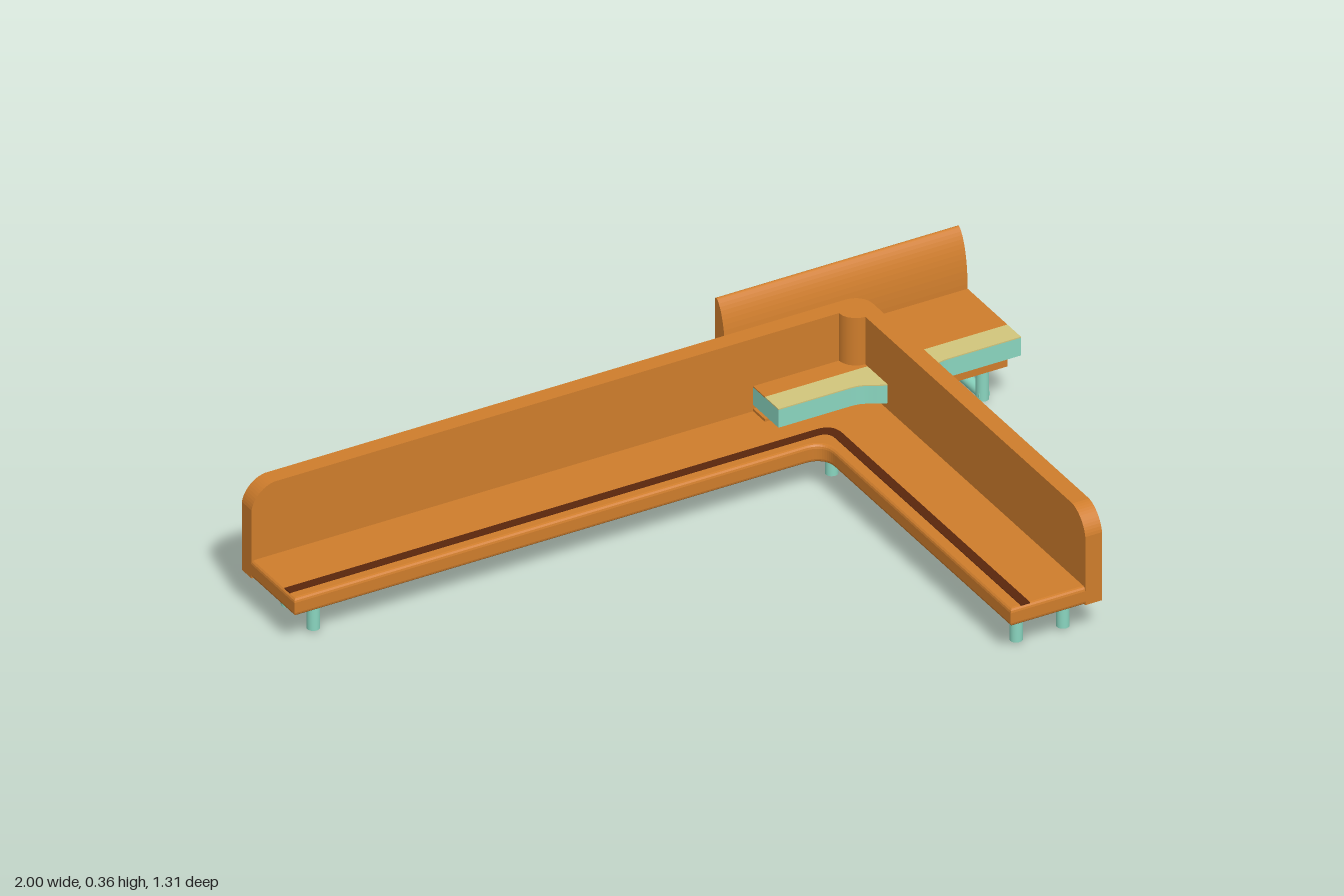
import * as THREE from 'three';

export function createModel() {
  const root = new THREE.Group();
  const mat = (name, color) => {
    const m = new THREE.MeshStandardMaterial({ color });
    m.name = name;
    return m;
  };
  const orange = mat('orange upholstery', 0xcf7d2c);
  const teal = mat('teal frame', 0x8ad6c0);
  const brown = mat('dark brown', 0x5a260c);
  const straw = mat('straw trim', 0xd2c67c);

  const add = (name, geo, material, x = 0, y = 0, z = 0) => {
    const m = new THREE.Mesh(geo, material);
    m.name = name;
    m.position.set(x, y, z);
    root.add(m);
    return m;
  };
  const box = (name, material, x0, x1, y0, y1, z0, z1) =>
    add(name, new THREE.BoxGeometry(x1 - x0, y1 - y0, z1 - z0), material,
      (x0 + x1) / 2, (y0 + y1) / 2, (z0 + z1) / 2);
  const post = (name, material, x, z, y0, y1, r = 0.016) =>
    add(name, new THREE.CylinderGeometry(r, r, y1 - y0, 20), material, x, (y0 + y1) / 2, z);
  // plan shapes use (x, -z) and rise along y
  const plan = (shape, h, bevel = 0) => {
    const g = new THREE.ExtrudeGeometry(shape, {
      depth: h - 2 * bevel, curveSegments: 12, bevelEnabled: bevel > 0,
      bevelSize: bevel, bevelOffset: -bevel, bevelThickness: bevel, bevelSegments: 3,
    });
    return g.translate(0, 0, bevel).rotateX(-Math.PI / 2);
  };
  const extrude = (shape, depth) =>
    new THREE.ExtrudeGeometry(shape, { depth, bevelEnabled: false, curveSegments: 12 });

  // Corner sofa: L-shaped seat with a rounded inner corner
  const seat = new THREE.Shape();
  seat.moveTo(-1, 0.215);
  seat.lineTo(0.37, 0.215);
  seat.quadraticCurveTo(0.42, 0.215, 0.42, 0.165);
  seat.lineTo(0.42, -0.655);
  seat.lineTo(0.65, -0.655);
  seat.lineTo(0.65, 0.445);
  seat.lineTo(-1, 0.445);
  seat.closePath();
  add('sofaSeat', plan(seat, 0.048, 0.01), orange, 0, 0.09, 0);

  // Seam running along the seat front
  const seam = new THREE.Shape();
  seam.moveTo(-0.995, 0.245);
  seam.lineTo(0.42, 0.245);
  seam.quadraticCurveTo(0.45, 0.245, 0.45, 0.215);
  seam.lineTo(0.45, -0.65);
  seam.lineTo(0.475, -0.65);
  seam.lineTo(0.475, 0.225);
  seam.quadraticCurveTo(0.475, 0.27, 0.43, 0.27);
  seam.lineTo(-0.995, 0.27);
  seam.closePath();
  add('seatSeam', plan(seam, 0.003), brown, 0, 0.1365, 0);

  // Backrests: each free end has a rounded upper corner
  const wall = (length) => {
    const s = new THREE.Shape();
    s.moveTo(0, 0.09);
    s.lineTo(length, 0.09);
    s.lineTo(length, 0.335);
    s.lineTo(0.06, 0.335);
    s.bezierCurveTo(0.03, 0.33, 0.005, 0.305, 0, 0.275);
    s.closePath();
    return extrude(s, 0.045);
  };
  add('sofaLongBack', wall(1.62), orange, -1, 0, -0.46);
  add('sofaShortBack', wall(1.07).rotateY(Math.PI / 2), orange, 0.62, 0, 0.655);
  post('sofaBackCorner', orange, 0.62, -0.415, 0.09, 0.335, 0.045);

  // Sofa legs
  for (const [x, z] of [[-0.915, -0.275], [-0.915, -0.395], [0.475, 0.585], [0.6, 0.585],
    [0.475, -0.275], [0.6, -0.395]]) post('sofaLeg', teal, x, z, 0.005, 0.095);

  // Bench: padded base and a slab with bulging long edges
  box('benchBase', orange, 0.345, 0.995, 0.092, 0.145, -0.555, -0.36);
  const bulge = (s, dir, edge, peak) => {
    const X = (t) => 0.67 + dir * t;
    s.lineTo(X(-0.13), edge);
    s.bezierCurveTo(X(-0.08), edge, X(-0.07), peak, X(0), peak);
    s.bezierCurveTo(X(0.07), peak, X(0.08), edge, X(0.13), edge);
    s.lineTo(X(0.325), edge);
  };
  const slab = new THREE.Shape();
  slab.moveTo(0.345, 0.297);
  bulge(slab, 1, 0.297, 0.257);
  slab.lineTo(0.995, 0.628);
  bulge(slab, -1, 0.628, 0.656);
  slab.closePath();
  add('benchSlab', plan(slab, 0.048), teal, 0, 0.155, 0);
  box('benchSeatCover', orange, 0.345, 0.995, 0.203, 0.206, -0.6, -0.36);

  // Straw-coloured front and rear margins of the slab
  const front = new THREE.Shape();
  front.moveTo(0.345, 0.297);
  bulge(front, 1, 0.297, 0.257);
  front.lineTo(0.995, 0.36);
  front.lineTo(0.345, 0.36);
  front.closePath();
  add('benchFrontMargin', plan(front, 0.003), straw, 0, 0.203, 0);
  const rear = new THREE.Shape();
  rear.moveTo(0.345, 0.6);
  rear.lineTo(0.995, 0.6);
  rear.lineTo(0.995, 0.628);
  bulge(rear, -1, 0.628, 0.656);
  rear.closePath();
  add('benchRearMargin', plan(rear, 0.003), straw, 0, 0.203, 0);

  // Bench backrest: flat behind, curved in front
  const back = new THREE.Shape();
  back.moveTo(0.545, 0.2);
  back.lineTo(0.592, 0.2);
  back.lineTo(0.592, 0.352);
  back.quadraticCurveTo(0.588, 0.359, 0.58, 0.352);
  back.bezierCurveTo(0.56, 0.33, 0.545, 0.28, 0.545, 0.2);
  add('benchBack', extrude(back, 0.65).rotateY(Math.PI / 2), orange, 0.345, 0, 0);

  // Bench supports: sled feet near both ends, with a spacer behind
  for (const x of [0.395, 0.475, 0.865, 0.945]) {
    for (const z of [-0.39, -0.53]) post('benchLeg', teal, x, z, 0.005, 0.095);
    const rail = post('sledRail', teal, x, -0.46, -0.08, 0.08, 0.015);
    rail.rotation.x = Math.PI / 2;
    rail.position.y = 0.02;
  }
  for (const x of [0.395, 0.945]) {
    post('slabSpacer', teal, x, -0.455, 0.14, 0.157, 0.02);
    box('rearBracket', teal, x - 0.015, x + 0.015, 0.095, 0.157, -0.58, -0.555);
  }

  // Central pedestal ringed by four dark legs
  post('pedestalFoot', teal, 0.67, -0.46, 0.006, 0.022, 0.065);
  post('pedestalPost', teal, 0.67, -0.46, 0.02, 0.157, 0.018);
  for (const x of [0.605, 0.735])
    for (const z of [-0.39, -0.53]) post('darkLeg', brown, x, z, 0, 0.095);

  return root;
}
